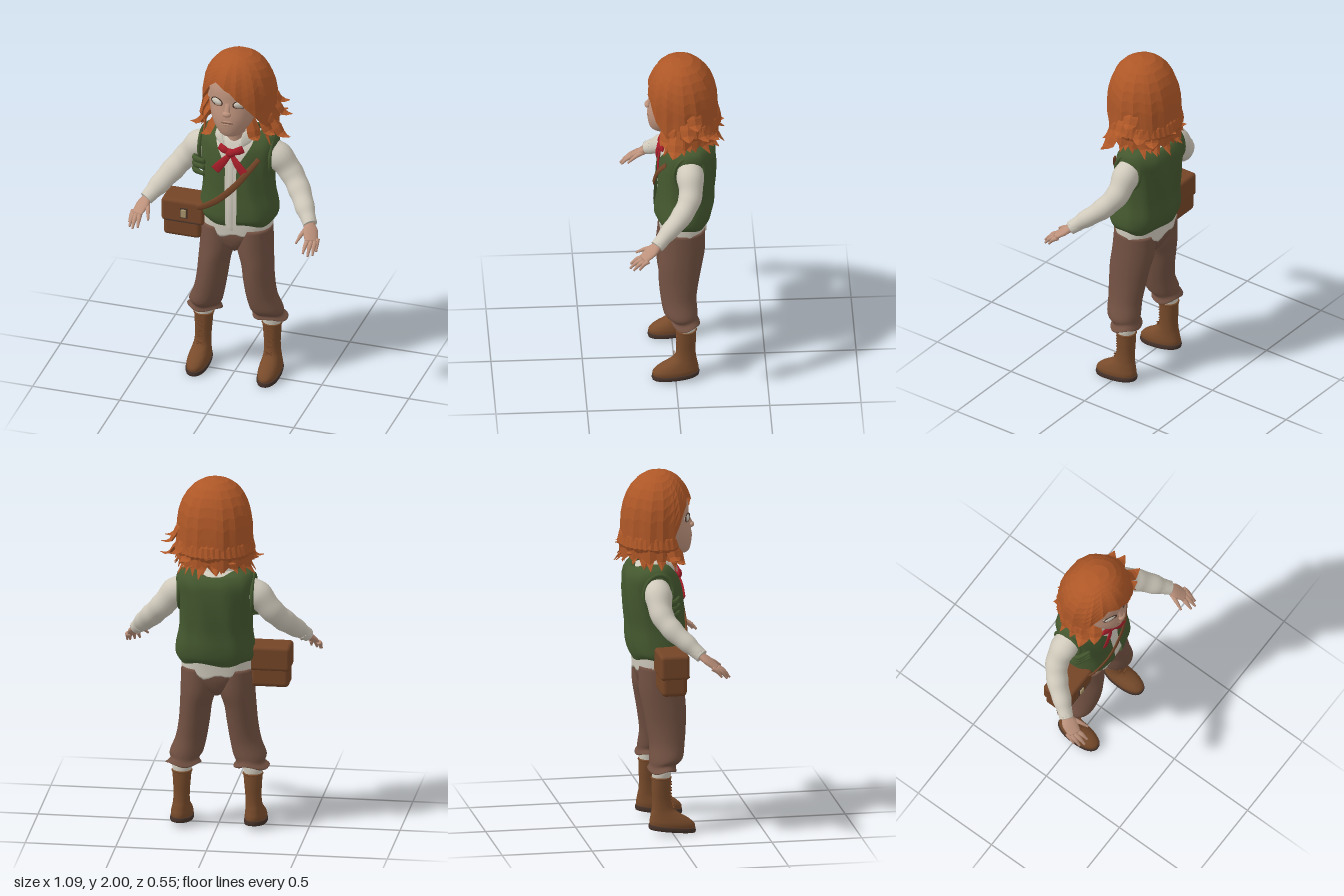
import * as THREE from 'three';
import { RoundedBoxGeometry } from 'three/addons/geometries/RoundedBoxGeometry.js';

const V = (a) => new THREE.Vector3(...a);
const mat = (name, color, side = THREE.FrontSide) => {
  const m = new THREE.MeshStandardMaterial({ color, side });
  m.name = name;
  return m;
};

// Surface through a list of rings; rings run front to +x while advancing upward.
function skin(rings, closed = true) {
  const n = rings[0].length, pos = [], idx = [];
  rings.forEach((r) => r.forEach((p) => pos.push(p.x, p.y, p.z)));
  for (let i = 0; i < rings.length - 1; i++) {
    for (let j = 0; j < (closed ? n : n - 1); j++) {
      const k = (j + 1) % n, a = i * n + j, b = i * n + k, c = b + n, d = a + n;
      idx.push(a, b, c, a, c, d);
    }
  }
  const g = new THREE.BufferGeometry();
  g.setAttribute('position', new THREE.Float32BufferAttribute(pos, 3));
  g.setIndex(idx);
  g.computeVertexNormals();
  return g;
}

// Smooth interpolation between rows of numbers, t in 0..1.
function keyed(keys, t) {
  const f = t * (keys.length - 1), i = Math.min(Math.floor(f), keys.length - 2), u = f - i;
  const at = (k) => keys[Math.max(0, Math.min(keys.length - 1, k))];
  return keys[0].map((_, c) => {
    const a = at(i - 1)[c], b = at(i)[c], d = at(i + 1)[c], e = at(i + 2)[c];
    return b + 0.5 * u * (d - a + u * (2 * a - 5 * b + 4 * d - e + u * (3 * (b - d) + e - a)));
  });
}

// Upright form from keys [y, cx, cz, rx, rz]; gap(y, rx) opens it at the front.
function loft(keys, { n = 32, rows = 28, p = 2, gap, warp } = {}) {
  const rings = [];
  const se = (v) => Math.sign(v) * Math.abs(v) ** (2 / p);
  for (let i = 0; i <= rows; i++) {
    const [y, cx, cz, rx, rz] = keyed(keys, i / rows), ring = [];
    const g = gap ? gap(y, rx) : 0;
    for (let j = 0; j < (gap ? n + 1 : n); j++) {
      const a = g + (j / n) * (2 * Math.PI - 2 * g);
      const v = new THREE.Vector3(cx + rx * se(Math.sin(a)), y, cz + rz * se(Math.cos(a)));
      if (warp) warp(v, a, i / rows);
      ring.push(v);
    }
    rings.push(ring);
  }
  if (!gap) {
    const mid = (r) => {
      const c = r.reduce((s, v) => s.add(v), new THREE.Vector3()).divideScalar(r.length);
      return r.map(() => c.clone());
    };
    rings.unshift(mid(rings[0]));
    rings.push(mid(rings.at(-1)));
  }
  return skin(rings, !gap);
}

// Tapered limb along points; radii [sideways, along ref].
function limb(points, radii, ref = [0, 0, 1], n = 12, rows = 16, crease = 0) {
  const curve = new THREE.CatmullRomCurve3(points.map(V)), rings = [], up = V(ref);
  for (let i = 0; i <= rows; i++) {
    const t = i / rows, c = curve.getPoint(t), T = curve.getTangent(t);
    const B = T.clone().cross(up).normalize(), N = B.clone().cross(T), [rb, rn] = keyed(radii, t);
    const k = 1 + crease * Math.sin(t * 34);
    rings.push(Array.from({ length: n }, (_, j) => {
      const a = (j / n) * 2 * Math.PI;
      return c.clone().addScaledVector(N, k * rn * Math.cos(a)).addScaledVector(B, k * rb * Math.sin(a));
    }));
  }
  rings.unshift(rings[0].map(() => curve.getPoint(0)));
  rings.push(rings[1].map(() => curve.getPoint(1)));
  return skin(rings);
}

const faceted = (g) => { const f = g.toNonIndexed(); f.computeVertexNormals(); return f; };

export function createModel() {
  const root = new THREE.Group();
  root.name = 'traveller';
  const D = THREE.DoubleSide;
  const hair = mat('ginger hair', 0xae5727, D), skinM = mat('skin', 0xbd927c), green = mat('green vest', 0x44582f, D);
  const linen = mat('linen', 0xd0cabc, D), cloth = mat('brown trousers', 0x725142), boot = mat('boot leather', 0x784b2b);
  const bagM = mat('bag leather', 0x744527), dark = mat('dark sole', 0x46332a), red = mat('red ribbon', 0xa81e2a), brass = mat('brass', 0xa8946c);
  const add = (name, g, m, pos = [0, 0, 0], rot = [0, 0, 0], scale = [1, 1, 1]) => {
    const mesh = new THREE.Mesh(g, m);
    mesh.name = name;
    mesh.position.set(...pos); mesh.rotation.set(...rot); mesh.scale.set(...scale);
    root.add(mesh);
  };
  const ball = new THREE.SphereGeometry(1, 20, 14);

  // Head and neck
  add('head', loft([[1.533, 0, 0.065, 0.03, 0.04], [1.55, 0, 0.05, 0.068, 0.08], [1.6, 0, 0.03, 0.106, 0.112],
    [1.66, 0, 0.012, 0.128, 0.13], [1.74, 0, -0.01, 0.14, 0.138], [1.82, 0, -0.02, 0.142, 0.142],
    [1.9, 0, -0.03, 0.11, 0.12], [1.95, 0, -0.03, 0.05, 0.06]]), skinM);
  add('neck', loft([[1.4, 0, -0.04, 0.065, 0.065], [1.5, 0, -0.025, 0.052, 0.055], [1.62, 0, -0.01, 0.056, 0.06]]), skinM);
  add('noseBridge', limb([[0, 1.755, 0.115], [0, 1.715, 0.131], [0, 1.69, 0.14]], [[0.016, 0.01], [0.016, 0.012], [0.018, 0.014]]), skinM);
  add('noseTip', ball, skinM, [0, 1.69, 0.143], [0, 0, 0], [0.025, 0.017, 0.016]);
  add('mouthLine', ball, cloth, [0, 1.634, 0.138], [0, 0, 0], [0.036, 0.004, 0.007]);
  add('upperLip', ball, skinM, [0, 1.642, 0.137], [0, 0, 0], [0.032, 0.007, 0.009]);
  add('lowerLip', ball, skinM, [0, 1.624, 0.137], [0, 0, 0], [0.028, 0.008, 0.009]);
  for (const s of [-1, 1]) {
    add('eye', ball, linen, [s * 0.066, 1.745, 0.105], [0, s * 0.42, 0], [0.037, 0.021, 0.014]);
    add('eyeRim', new THREE.TorusGeometry(0.039, 0.0035, 8, 28), dark, [s * 0.066, 1.745, 0.111], [0, s * 0.45, 0], [1, 0.6, 1]);
    add('ear', ball, skinM, [s * 0.142, 1.7, -0.02], [0, 0, s * -0.1], [0.015, 0.038, 0.025]);
  }

  // Hair shell in broad strands, with a swept hem over the face
  const hem = [[-180, 1.54], [-95, 1.54], [-80, 1.58], [-62, 1.72], [-44, 1.82], [-28, 1.865], [-15, 1.845], [0, 1.82], [17, 1.765], [36, 1.69], [55, 1.61], [80, 1.55], [180, 1.54]];
  const hemAt = (d) => {
    const i = Math.max(1, hem.findIndex((h) => h[0] >= d)), [a, b] = [hem[i - 1], hem[i]];
    return b[1] + (a[1] - b[1]) * ((b[0] - d) / (b[0] - a[0]));
  };
  const cap = [], cols = 36;
  for (let i = 0; i <= 9; i++) {
    const t = 1 - i / 9, ring = [];
    for (let j = 0; j < cols; j++) {
      const deg = -180 + (j / cols) * 360, a = THREE.MathUtils.degToRad(deg), lump = ((j * 7) % 5) / 5 - 0.4;
      const chop = Math.abs(deg) > 75 ? 0.05 * lump : 0;
      const y = 2 - (2 - hemAt(deg) + chop) * t ** 1.6, u = Math.max(0, (y - 1.72) / 0.28);
      const r = ((1 - Math.min(1, u) ** 2.2) ** 0.4545) * (1 + Math.max(0, 1.72 - y) * 0.2) * (1 + 0.09 * Math.min(t, 0.7) * lump);
      ring.push(new THREE.Vector3(0.015 + 0.207 * r * Math.sin(a), y, -0.05 + 0.015 * u + 0.195 * r * Math.cos(a)));
    }
    cap.push(ring);
  }
  add('hairShell', faceted(skin(cap)), hair);

  // Broad loose locks around the back and sides, then larger flicks
  let seed = 7;
  const rnd = () => (seed = (seed * 16807) % 2147483647) / 2147483647;
  const lock = (pts, w, ref) => add('hairLock', faceted(limb(pts, [[w * 0.5, 0.008], [w, 0.014], [w * 0.8, 0.01], [0.002, 0.002]], ref, 4, 5)), hair);
  for (let i = 0; i < 26; i++) {
    const a = THREE.MathUtils.degToRad(74 + (i / 25) * 212), swirl = (rnd() - 0.5) * 0.5, out = 0.19 + 0.06 * rnd();
    const p = (r, y, da) => [0.015 + r * Math.sin(a + da), y, -0.05 + r * 0.95 * Math.cos(a + da)];
    lock([p(0.17, 1.7, 0), p(0.212, 1.62, 0), p(0.19, 1.56, swirl / 2), p(out, 1.48 + 0.06 * rnd(), swirl)], 0.034 + 0.014 * rnd(), [Math.sin(a), 0.1, Math.cos(a)]);
  }
  const flicks = [[0.31, 1.635, -0.07], [0.325, 1.54, 0.02], [0.28, 1.69, -0.12], [-0.245, 1.55, 0.03], [-0.17, 1.51, 0.08], [0.03, 1.6, -0.275],
    [0.19, 1.57, -0.24], [0.25, 1.56, 0.06], [0.16, 1.52, 0.08], [-0.12, 1.57, -0.235], [-0.21, 1.6, -0.06], [0.25, 1.6, -0.18]];
  for (const [x, y, z] of flicks) {
    const q = (f, h) => [0.015 + (x - 0.015) * f, y + h, -0.05 + (z + 0.05) * f];
    lock([q(0.52, 0.12), q(0.72, 0.05), q(0.84, 0.0), q(1, 0)], 0.042, [x, 0.5, z + 0.05]);
  }

  // Shirt body, placket and collar
  add('shirtBody', loft([[0.9, 0, -0.05, 0.198, 0.13], [0.96, 0, -0.05, 0.2, 0.135], [1.08, 0, -0.055, 0.195, 0.142], [1.25, 0, -0.065, 0.187, 0.143],
    [1.38, 0, -0.075, 0.19, 0.138], [1.45, 0, -0.075, 0.17, 0.11], [1.485, 0, -0.06, 0.08, 0.07]],
  { p: 2.3, n: 48, warp: (v, a, t) => { if (t < 0.12) v.y += (0.12 - t) * 0.2 * Math.sin(a * 7) * Math.cos(a * 3 + 1); } }), linen);
  add('placket', limb([[0, 0.93, 0.082], [0, 1.06, 0.088], [0, 1.22, 0.08], [0, 1.38, 0.064]], [[0.016, 0.004], [0.016, 0.004]]), linen);
  add('collar', loft([[1.43, 0, -0.045, 0.115, 0.095], [1.48, 0, -0.04, 0.1, 0.085], [1.52, 0, -0.035, 0.085, 0.07]], { gap: (y) => 0.3 + (y - 1.43) * 4 }), linen);
  for (const s of [-1, 1]) add('collarPoint', limb([[s * 0.09, 1.525, -0.01], [s * 0.08, 1.495, 0.03], [s * 0.045, 1.435, 0.06]],
    [[0.02, 0.005], [0.032, 0.005], [0.004, 0.004]], [s * 0.5, 0.2, 1]), linen);

  // Open vest, dipping at the nape
  add('vest', loft([[0.965, 0.008, -0.05, 0.2, 0.14], [1.0, 0.01, -0.05, 0.219, 0.157], [1.06, 0.012, -0.055, 0.216, 0.162], [1.15, 0.008, -0.06, 0.202, 0.158],
    [1.25, 0.004, -0.068, 0.202, 0.16], [1.35, 0.004, -0.076, 0.21, 0.157], [1.43, 0.006, -0.085, 0.218, 0.142], [1.482, 0.006, -0.088, 0.198, 0.105], [1.503, 0.004, -0.085, 0.13, 0.075]],
  { p: 2.3, n: 56, rows: 40, warp: (v, a, t) => {
    v.z += 0.006 * Math.sin(a * 9 + t * 8) * Math.sin(t * Math.PI);
    if (t < 0.15) v.y += (0.15 - t) * 0.06 * Math.sin(a * 5);
    if (t > 0.85) v.y -= (t - 0.85) * 0.3 * Math.max(0, -Math.cos(a)) ** 6;
  },
  gap: (y, rx) => Math.asin(Math.min(0.7, ((0.032 + 0.075 * THREE.MathUtils.smoothstep(y, 1.3, 1.49)) / rx) ** 1.15)) }), green);
  for (const s of [-1, 1])
    add('armholeRim', new THREE.TorusGeometry(0.082, 0.01, 10, 28), green, [s * 0.203, 1.36, -0.075], [0, Math.PI / 2, s * -0.15], [1, 1.25, 1]);
  for (let i = 0; i < 3; i++) add('vestFold', limb([[-0.16, 1.235 + i * 0.04, 0.045], [-0.228, 1.235 + i * 0.035, 0.0], [-0.2, 1.24 + i * 0.04, -0.07]],
    [[0.016, 0.01], [0.022, 0.016], [0.012, 0.008]], [1, 0.3, 0]), green);

  // Ribbon bow
  add('bowKnot', ball, red, [0, 1.41, 0.072], [0, 0, 0], [0.03, 0.025, 0.02]);
  for (const s of [-1, 1]) {
    add('bowLoop', limb([[0, 1.415, 0.07], [s * 0.035, 1.425, 0.072], [s * 0.068, 1.44, 0.062]], [[0.012, 0.008], [0.022, 0.013], [0.022, 0.007]]), red);
    add('bowTail', limb([[0, 1.405, 0.07], [s * 0.04, 1.355, 0.085], [s * 0.085, 1.3, 0.09]], [[0.012, 0.006], [0.022, 0.006], [0.026, 0.004]]), red);
  }

  // Sleeves and hands
  for (const s of [-1, 1]) {
    const arm = (name, pts, r, M, ref, ...detail) => add(name, limb(pts.map(([x, y, z]) => [s * x, y, z]), r, ref, ...detail), M);
    arm('sleeve', [[0.14, 1.39, -0.08], [0.22, 1.355, -0.08], [0.3, 1.265, -0.075], [0.365, 1.19, -0.025], [0.425, 1.12, 0.055], [0.468, 1.07, 0.112]],
      [[0.07, 0.07], [0.078, 0.074], [0.066, 0.063], [0.062, 0.057], [0.053, 0.047], [0.038, 0.035]], linen, [0, 0.3, 1], 20, 40, 0.03);
    arm('cuff', [[0.445, 1.095, 0.082], [0.472, 1.067, 0.116]], [[0.043, 0.041], [0.04, 0.038]], linen, [0, 1, 0.3]);
    arm('palm', [[0.465, 1.075, 0.105], [0.482, 1.045, 0.145], [0.502, 1.005, 0.195]], [[0.026, 0.02], [0.042, 0.018], [0.036, 0.012]], skinM, [s * 0.3, 0.85, 0.4]);
    const fingers = [[[0.528, 1.01, 0.165], [0.537, 0.96, 0.215]], [[0.52, 1.005, 0.185], [0.526, 0.95, 0.247]], [[0.502, 1.006, 0.195], [0.503, 0.95, 0.265]],
      [[0.482, 1.01, 0.192], [0.474, 0.96, 0.26]], [[0.458, 1.05, 0.13], [0.424, 1.0, 0.228]]];
    for (const [a, b] of fingers) {
      const mid = a.map((v, i) => (v + b[i]) / 2 + (i === 1 ? 0.008 : 0));
      arm('finger', [a, mid, b], [[0.014, 0.013], [0.012, 0.011], [0.006, 0.006]], skinM, [0, 1, 0.5]);
    }
  }

  // Trousers
  add('trouserSeat', loft([[0.765, 0, -0.045, 0.02, 0.06], [0.8, 0, -0.045, 0.07, 0.1], [0.85, 0, -0.046, 0.15, 0.12], [0.9, 0, -0.048, 0.198, 0.127], [0.95, 0, -0.05, 0.192, 0.122]], { p: 2.2 }), cloth);
  for (const s of [-1, 1]) {
    add('trouserLeg', loft([[0.355, s * 0.188, -0.055, 0.075, 0.065], [0.36, s * 0.188, -0.055, 0.1, 0.08], [0.385, s * 0.182, -0.05, 0.08, 0.074],
      [0.42, s * 0.175, -0.03, 0.092, 0.092], [0.5, s * 0.15, -0.02, 0.086, 0.098], [0.6, s * 0.133, -0.022, 0.085, 0.11], [0.7, s * 0.122, -0.03, 0.088, 0.12], [0.8, s * 0.105, -0.042, 0.1, 0.125], [0.93, s * 0.1, -0.047, 0.1, 0.12]],
    { rows: 40, warp: (v, a, t) => { if (t < 0.5) v.y += (0.5 - t) * 0.022 * Math.sin(a * 3 + s); } }), cloth);
    add('sock', loft([[0.29, s * 0.196, -0.06, 0.048, 0.048], [0.34, s * 0.196, -0.058, 0.054, 0.052], [0.38, s * 0.19, -0.055, 0.055, 0.052]]), linen);

    // Boot, sole and laces; the toe dips slightly
    const dip = (v, a, t) => { v.y -= (v.z + 0.02) * 0.12 * (1 - t); };
    add('boot', loft([[0.035, s * 0.204, 0, 0.056, 0.124], [0.06, s * 0.204, 0, 0.059, 0.126], [0.085, s * 0.203, -0.012, 0.055, 0.11], [0.11, s * 0.202, -0.034, 0.049, 0.084],
      [0.14, s * 0.2, -0.052, 0.045, 0.06], [0.19, s * 0.198, -0.058, 0.044, 0.052], [0.25, s * 0.197, -0.06, 0.048, 0.052], [0.32, s * 0.196, -0.06, 0.053, 0.053]], { warp: dip, p: 2.2 }), boot);
    add('sole', loft([[0.014, s * 0.204, 0, 0.06, 0.128], [0.026, s * 0.204, 0, 0.063, 0.131], [0.04, s * 0.204, 0, 0.061, 0.129]],
      { rows: 6, p: 2.3, warp: (v) => { v.y -= (v.z + 0.02) * 0.11 - 0.003; } }), dark);
    add('bootCuff', new THREE.TorusGeometry(0.052, 0.006, 8, 28), boot, [s * 0.196, 0.315, -0.06], [Math.PI / 2, 0, 0]);
    for (let i = 0; i < 5; i++) for (const d of [-1, 1])
      add('lace', new THREE.BoxGeometry(0.042, 0.005, 0.006), bagM, [s * 0.197, 0.15 + i * 0.034, i ? -0.007 : 0.008], [0, 0, d * 0.45]);
  }

  // Satchel and shoulder strap
  add('bagBody', new RoundedBoxGeometry(0.215, 0.22, 0.14, 4, 0.025), bagM, [-0.29, 0.93, -0.02]);
  add('bagFlap', new RoundedBoxGeometry(0.245, 0.14, 0.162, 4, 0.02), bagM, [-0.282, 0.984, -0.017]);
  add('bagSeam', new THREE.BoxGeometry(0.2, 0.006, 0.004), dark, [-0.282, 0.925, 0.064]);
  add('claspPlate', new THREE.BoxGeometry(0.042, 0.06, 0.008), dark, [-0.272, 0.982, 0.066]);
  add('clasp', new RoundedBoxGeometry(0.03, 0.048, 0.012, 2, 0.004), brass, [-0.272, 0.982, 0.072]);
  add('strap', limb([[-0.24, 1.0, 0.03], [-0.165, 1.045, 0.076], [-0.06, 1.125, 0.104], [0.04, 1.23, 0.102], [0.1, 1.31, 0.088], [0.155, 1.385, 0.052]],
    [[0.015, 0.006], [0.018, 0.006], [0.018, 0.006], [0.014, 0.005]]), bagM);
  return root;
}
